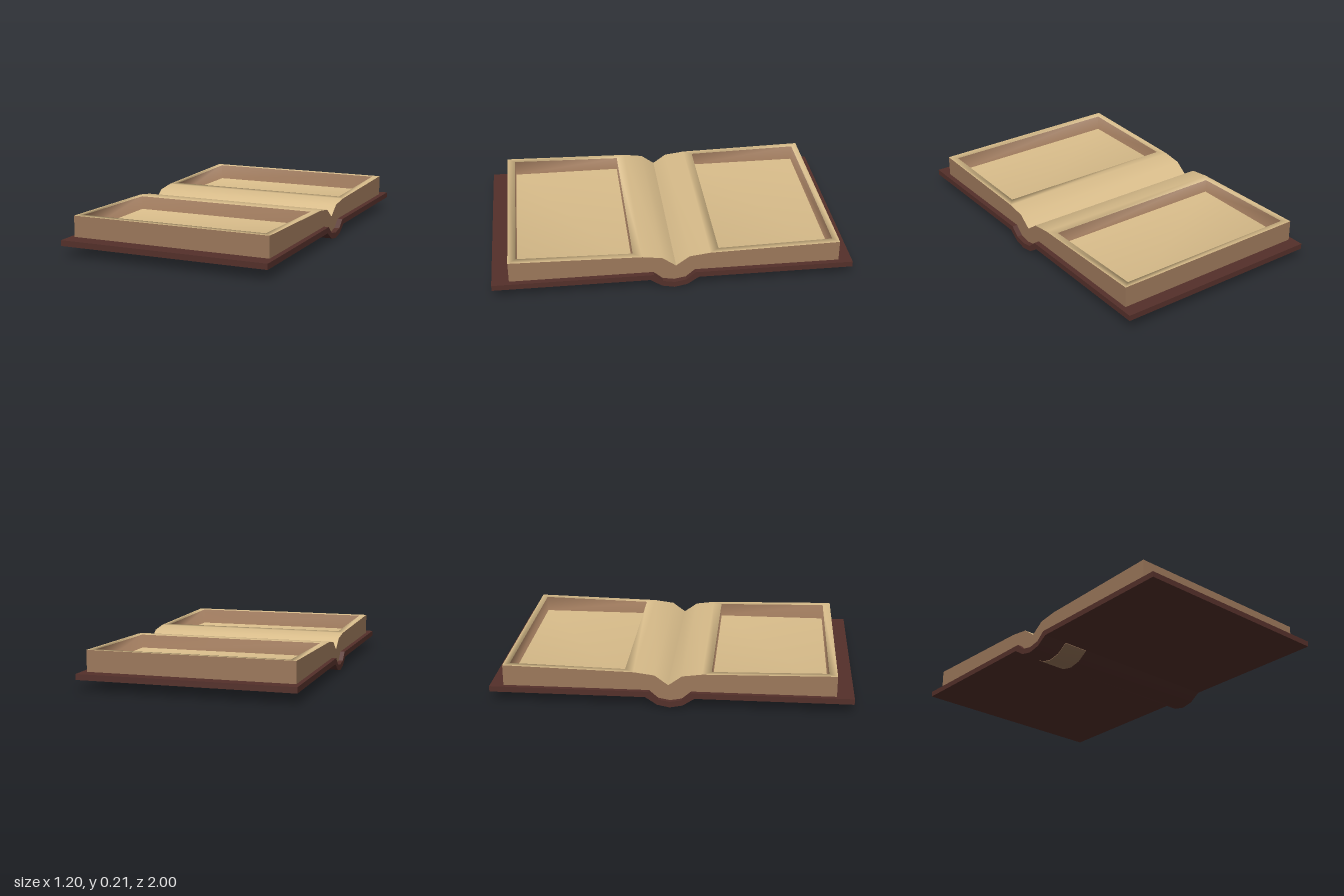
import * as THREE from 'three';
import { toCreasedNormals } from 'three/addons/utils/BufferGeometryUtils.js';

const material = (name, color, side = THREE.FrontSide) => {
  const m = new THREE.MeshStandardMaterial({ color, side });
  m.name = name;
  return m;
};

// Outline given as [z, y] points, extruded along x from x0 to x1
const shapeOf = (pts) => new THREE.Shape(pts.map(([z, y]) => new THREE.Vector2(z, y)));
function extrudeX(pts, x0, x1) {
  const g = new THREE.ExtrudeGeometry(shapeOf(pts), { depth: x1 - x0, bevelEnabled: false });
  g.rotateY(-Math.PI / 2).translate(x1, 0, 0);
  return toCreasedNormals(g, 0.5);
}

const X0 = -0.575, X1 = 0.57, FLOOR = 0.12;
// Page surface heights as [z, y], from the back edge to the front edge
const TOP = [[-0.925, 0.21], [-0.2, 0.195], [-0.085, 0.18], [-0.01, 0.125],
  [0.065, 0.18], [0.175, 0.195], [0.905, 0.21]];
const topY = (z) => {
  const i = Math.max(1, TOP.findIndex((p) => p[0] >= z));
  const [a, b] = [TOP[i - 1], TOP[i]];
  return a[1] + (b[1] - a[1]) * (z - a[0]) / (b[0] - a[0]);
};

// One half of the page surface: rim, recess walls, recess floor and slope to the gutter
function pageHalf(outer, inner, slope) {
  const pos = [], seen = new Map(), faces = [[], []];
  const vertex = (p) => {
    const key = p.map((v) => v.toFixed(4)).join();
    if (!seen.has(key)) {
      seen.set(key, pos.length / 3);
      pos.push(...p);
    }
    return seen.get(key);
  };
  const quad = (mat, ...corners) => {
    const [a, b, c, d] = corners.map(vertex);
    faces[mat].push(a, b, c, a, c, d);
  };
  const rect = (x0, x1, z0, z1, y) =>
    [[x0, z1], [x1, z1], [x1, z0], [x0, z0]].map(([x, z]) => [x, y ?? topY(z), z]);

  const rim = rect(X0, X1, ...outer);
  const lip = rect(-0.537, 0.53, ...inner);
  const floor = rect(-0.535, 0.528, inner[0] + 0.002, inner[1] - 0.002, FLOOR);
  for (let i = 0; i < 4; i++) {
    const j = (i + 1) % 4;
    quad(0, rim[i], rim[j], lip[j], lip[i]);
    quad(1, lip[i], lip[j], floor[j], floor[i]);
  }
  quad(0, ...floor);
  for (let i = 0; i < slope.length - 1; i++) quad(0, ...rect(X0, X1, slope[i], slope[i + 1]));

  const g = new THREE.BufferGeometry();
  g.setAttribute('position', new THREE.Float32BufferAttribute(pos, 3));
  g.setIndex([...faces[0], ...faces[1]]);
  g.addGroup(0, faces[0].length, 0);
  g.addGroup(faces[0].length, faces[1].length, 1);
  g.computeVertexNormals();
  return g;
}

export function createModel() {
  const model = new THREE.Group();
  const leather = material('dark leather', 0x54302a);
  const paper = material('paper', 0xd8bc8a);
  const edge = material('page edge brown', 0x9c785b, THREE.DoubleSide);
  const add = (name, geometry, mat) => {
    const mesh = new THREE.Mesh(geometry, mat);
    mesh.name = name;
    model.add(mesh);
    return mesh;
  };

  // Cover boards joined by the sagging spine
  const under = [[-0.135, 0.06], [-0.07, 0.017], [0, 0.003], [0.07, 0.017], [0.135, 0.06]];
  const bed = [[0.115, 0.092], [0.065, 0.048], [0, 0.036], [-0.065, 0.048], [-0.115, 0.092]];
  add('cover', extrudeX([[-1, 0.06], ...under, [1, 0.06], [1, 0.092], ...bed, [-1, 0.092]], -0.6, 0.6), leather);

  // Band wrapped under the spine
  const band = under.map(([z, y]) => [z, y - 0.003]);
  add('spineBand', extrudeX([...band, ...[...under].reverse()], -0.455, -0.305), edge);

  // Page surfaces with their hollow recesses
  add('backPages', pageHalf([-0.925, -0.2], [-0.89, -0.25], [-0.2, -0.085, -0.01]), [paper, edge]);
  add('frontPages', pageHalf([0.175, 0.905], [0.225, 0.86], [-0.01, 0.065, 0.175]), [paper, edge]);

  // Page block sides
  const profile = [[-0.925, 0.092], ...[...bed].reverse(), [0.905, 0.092], ...[...TOP].reverse()];
  for (const [name, x] of [['rightPageEdge', X0], ['leftPageEdge', X1]]) {
    const g = new THREE.ShapeGeometry(shapeOf(profile));
    g.rotateY(-Math.PI / 2);
    if (x > 0) g.scale(1, 1, 1).translate(x, 0, 0);
    else g.translate(x, 0, 0);
    add(name, g, edge);
  }
  for (const [name, z, turn] of [['frontPageEdge', 0.905, 0], ['backPageEdge', -0.925, Math.PI]]) {
    const g = new THREE.PlaneGeometry(X1 - X0, 0.118);
    g.rotateY(turn).translate((X0 + X1) / 2, 0.151, z);
    add(name, g, edge);
  }
  return model;
}
